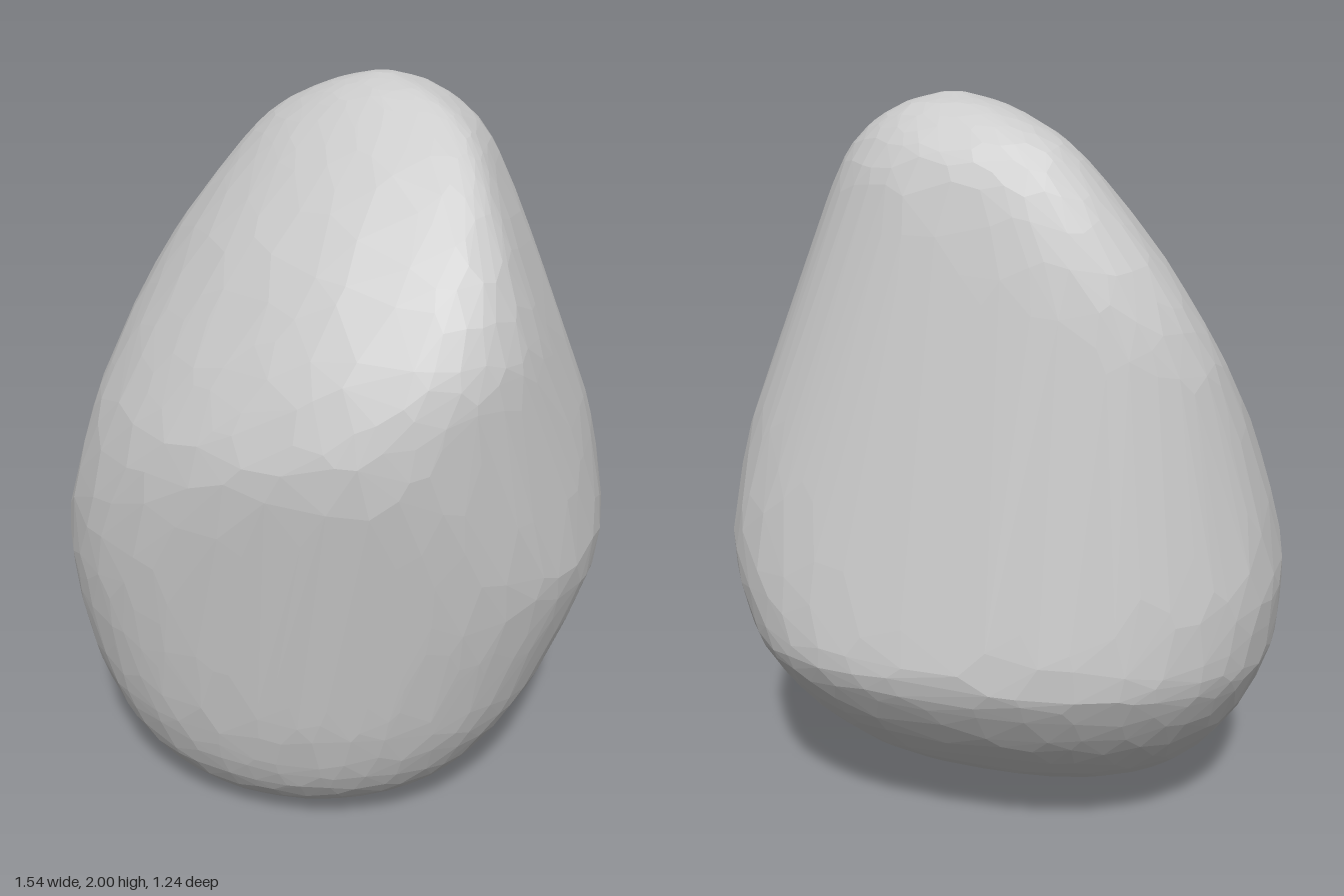
import * as THREE from 'three';
import { ConvexGeometry } from 'three/addons/geometries/ConvexGeometry.js';

// Horizontal sections: y, xMin, xMax, zMin, zMax,
// x where the front and the back peak, z where the -x and the +x side peak
const SECTIONS = [
  [0, -0.09, -0.05, 0.15, 0.19, -0.07, -0.07, 0.17, 0.17],
  [0.03, -0.3, 0.2, 0.01, 0.34, -0.06, -0.06, 0.17, 0.17],
  [0.1, -0.46, 0.38, -0.17, 0.43, -0.03, -0.03, 0.14, 0.14],
  [0.2, -0.58, 0.5, -0.34, 0.49, 0, 0, 0.1, 0.1],
  [0.35, -0.68, 0.61, -0.49, 0.53, 0.02, 0.04, 0.05, 0.05],
  [0.5, -0.74, 0.68, -0.59, 0.55, 0.04, 0.07, 0, 0],
  [0.6, -0.76, 0.72, -0.62, 0.56, 0.05, 0.08, -0.01, -0.01],
  [0.8, -0.765, 0.77, -0.59, 0.58, 0.08, 0.08, -0.03, -0.03],
  [1.1, -0.69, 0.72, -0.54, 0.62, 0.14, 0.07, -0.08, -0.03],
  [1.25, -0.64, 0.67, -0.515, 0.6, 0.17, 0.06, -0.13, -0.03],
  [1.4, -0.58, 0.615, -0.49, 0.545, 0.2, 0.05, -0.18, -0.02],
  [1.6, -0.46, 0.535, -0.46, 0.42, 0.22, 0.04, -0.22, -0.01],
  [1.8, -0.3, 0.44, -0.42, 0.23, 0.23, 0.05, -0.23, -0.04],
  [1.9, -0.19, 0.365, -0.37, 0.1, 0.2, 0.06, -0.22, -0.07],
  [1.97, -0.04, 0.25, -0.29, -0.01, 0.15, 0.09, -0.17, -0.12],
  [2, 0.08, 0.14, -0.18, -0.12, 0.11, 0.11, -0.15, -0.15],
];

// Small seeded generator for the irregular facets
function seeded(seed) {
  return () => {
    seed = (seed * 16807) % 2147483647;
    return seed / 2147483647;
  };
}

const spline = (a, b, c) => new THREE.CatmullRomCurve3(
  SECTIONS.map((s) => new THREE.Vector3(s[a], s[b], s[c])), false, 'catmullrom', 0.5);

export function createModel() {
  const width = spline(1, 0, 2);
  const depth = spline(3, 0, 4);
  const peakX = spline(5, 0, 6);
  const peakZ = spline(7, 0, 8);
  const random = seeded(7);

  // A point on the stone: t climbs from base to top, angle runs around it
  function surfacePoint(t, angle) {
    const w = width.getPoint(t), d = depth.getPoint(t);
    const px = peakX.getPoint(t), pz = peakZ.getPoint(t);
    const cos = Math.cos(angle), sin = Math.sin(angle);
    const midX = sin > 0 ? px.x : px.z;
    const midZ = cos > 0 ? pz.z : pz.x;
    // Squareness of each corner, changing towards the top
    const up = THREE.MathUtils.smoothstep(w.y, 0.8, 1.5);
    const top = THREE.MathUtils.smoothstep(w.y, 1.1, 1.8);
    let n = cos > 0 ? 1.95 + 2.8 * top : 2.1 - 0.4 * up;
    if (sin < 0) n = cos > 0 ? 2.65 - 0.4 * up : 2.25 + 0.6 * top;
    const reach = (v, low, mid, high) =>
      mid + Math.sign(v) * Math.pow(Math.abs(v), 2 / n) * (v > 0 ? high - mid : mid - low);
    return new THREE.Vector3(
      reach(cos, w.x, midX, w.z), w.y, reach(sin, d.x, midZ, d.z));
  }

  // Scatter points over the surface and wrap them into a faceted hull
  const points = [];
  const rows = 34, around = 40;
  for (let i = 0; i <= rows; i++) {
    const inner = i > 0 && i < rows;
    for (let j = 0; j < around; j++) {
      const t = (i + (inner ? (random() - 0.5) * 0.7 : 0)) / rows;
      const angle = ((j + (random() - 0.5) * 0.7) / around) * Math.PI * 2;
      points.push(surfacePoint(t, angle));
    }
  }

  const stone = new THREE.Mesh(
    new ConvexGeometry(points),
    new THREE.MeshStandardMaterial({ color: 0xcccccc, flatShading: true }));
  stone.name = 'stone';

  const group = new THREE.Group();
  group.name = 'boulder';
  group.add(stone);
  return group;
}
